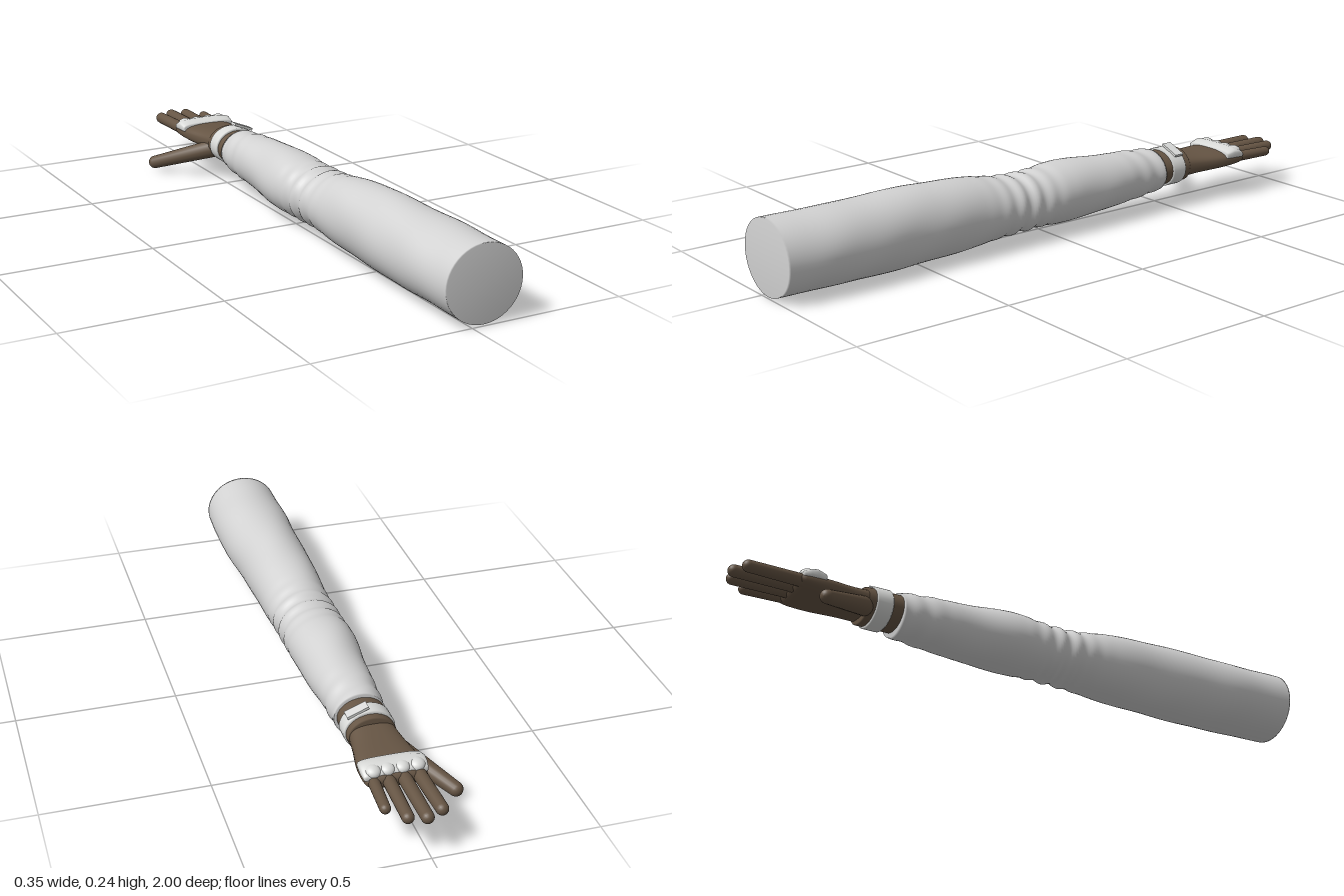
import * as THREE from 'three';

const mat = (name, color) => {
  const m = new THREE.MeshStandardMaterial({ color });
  m.name = name;
  return m;
};

// Smooth interpolation of section rows [z, left, right, bottom, top], z descending
function sectionAt(rows, z) {
  let i = 0;
  while (i < rows.length - 2 && z < rows[i + 1][0]) i++;
  const a = rows[i], b = rows[i + 1], h = b[0] - a[0], t = (z - a[0]) / h;
  const p = rows[Math.max(i - 1, 0)], n = rows[Math.min(i + 2, rows.length - 1)];
  return [1, 2, 3, 4].map((k) => {
    const m0 = (b[k] - p[k]) / (b[0] - p[0]) * h, m1 = (n[k] - a[k]) / (n[0] - a[0]) * h;
    const t2 = t * t, t3 = t2 * t;
    return (2 * t3 - 3 * t2 + 1) * a[k] + (t3 - 2 * t2 + t) * m0 + (3 * t2 - 2 * t3) * b[k] + (t3 - t2) * m1;
  });
}

// Closed skin through rows of sections; square < 1 flattens the ellipse, bump adds relief
function loft(rows, { steps = 0, sides = 40, square = 1, bump = () => 0 } = {}) {
  const z0 = rows[0][0], z1 = rows[rows.length - 1][0];
  const sections = steps
    ? Array.from({ length: steps + 1 }, (_, i) => {
      const z = z0 + (z1 - z0) * i / steps;
      return [z, ...sectionAt(rows, z)];
    })
    : rows;
  const pos = [], idx = [], pw = (v) => Math.sign(v) * Math.abs(v) ** square;
  for (const [z, l, r, b, t] of sections) {
    for (let j = 0; j < sides; j++) {
      const a = j / sides * Math.PI * 2, d = bump(z, a);
      pos.push((l + r) / 2 + pw(Math.cos(a)) * ((r - l) / 2 + d),
        (b + t) / 2 + pw(Math.sin(a)) * ((t - b) / 2 + d), z);
    }
  }
  const n = sections.length, c = n * sides;
  for (const s of [sections[0], sections[n - 1]]) pos.push((s[1] + s[2]) / 2, (s[3] + s[4]) / 2, s[0]);
  for (let j = 0; j < sides; j++) {
    const k = (j + 1) % sides, e = (n - 1) * sides;
    for (let i = 0; i < n - 1; i++) {
      const p = i * sides, q = p + sides;
      idx.push(p + j, q + j, p + k, p + k, q + j, q + k);
    }
    idx.push(c, j, k, c + 1, e + k, e + j);
  }
  const g = new THREE.BufferGeometry();
  g.setAttribute('position', new THREE.Float32BufferAttribute(pos, 3));
  g.setIndex(idx);
  g.computeVertexNormals();
  return g;
}

// Short band with small rounded rims
function band(z0, z1, l, r, b, t, square = 1) {
  const e = 0.004;
  return loft([
    [z0, l + e, r - e, b + e, t - e], [z0 - e, l, r, b, t],
    [z1 + e, l, r, b, t], [z1, l + e, r - e, b + e, t - e],
  ], { square });
}

export function createModel() {
  const model = new THREE.Group();
  const cloth = mat('sleeve cloth', 0xd2d2d2);
  const trim = mat('pale trim', 0xd9dad8);
  const glove = mat('brown glove', 0x665544);
  const add = (name, geometry, material, parent = model) => {
    const m = new THREE.Mesh(geometry, material);
    m.name = name;
    parent.add(m);
    return m;
  };

  // Sleeve with bunched folds at the elbow and soft creases elsewhere
  const folds = (z, a) => {
    const near = (c, w) => Math.exp(-(((z - c) / w) ** 2));
    return 0.0045 * near(0.12, 0.09) * Math.cos((z - 0.1) * 105 + 0.7 * Math.sin(a * 2))
      + 0.0022 * near(-0.4, 0.08) * Math.sin(z * 85 + 2 * Math.cos(a))
      + 0.0016 * (1 - near(1, 0.1)) * Math.sin(z * 23 + 2.5 * Math.sin(a + 1)) * Math.cos(a * 2 + z * 5);
  };
  add('sleeve', loft([
    [1, -0.087, 0.161, 0.008, 0.242], [0.8, -0.088, 0.167, 0.007, 0.242],
    [0.6, -0.081, 0.153, 0.004, 0.245], [0.48, -0.078, 0.148, 0.006, 0.246],
    [0.3, -0.073, 0.141, 0.016, 0.234], [0.14, -0.069, 0.134, 0.03, 0.211],
    [0.05, -0.074, 0.132, 0.03, 0.214], [-0.05, -0.078, 0.131, 0.026, 0.223],
    [-0.2, -0.062, 0.126, 0.033, 0.217], [-0.32, -0.054, 0.117, 0.045, 0.209],
    [-0.45, -0.047, 0.111, 0.058, 0.199],
  ], { steps: 200, sides: 48, bump: folds }), cloth);

  // Glove cuff, wrist strap and its buckle tab
  add('gloveCuff', band(-0.43, -0.566, -0.041, 0.106, 0.074, 0.189), glove);
  add('wristStrap', band(-0.485, -0.541, -0.046, 0.111, 0.068, 0.196), trim);
  const tab = add('strapTab', new THREE.BoxGeometry(0.07, 0.008, 0.034), trim);
  tab.position.set(0.066, 0.193, -0.517);
  tab.rotation.z = -0.38;

  // Flat hand
  add('palm', loft([
    [-0.55, -0.036, 0.1, 0.09, 0.172], [-0.62, -0.045, 0.11, 0.096, 0.165],
    [-0.7, -0.058, 0.124, 0.1, 0.162], [-0.76, -0.061, 0.126, 0.104, 0.158],
    [-0.79, -0.058, 0.122, 0.109, 0.153], [-0.8, -0.05, 0.114, 0.116, 0.146],
  ], { steps: 24, square: 0.75 }), glove);

  // Tapered digits with round tips, from a base point to a tip point
  const digit = (name, base, tip, r0, r1) => {
    const a = new THREE.Vector3(...base), b = new THREE.Vector3(...tip), len = a.distanceTo(b);
    const pts = [new THREE.Vector2(0, 0), new THREE.Vector2(r0, 0)];
    for (let i = 0; i <= 6; i++) {
      const t = i / 6 * Math.PI / 2;
      pts.push(new THREE.Vector2(i === 6 ? 0 : r1 * Math.cos(t), len - r1 + r1 * Math.sin(t)));
    }
    const m = add(name, new THREE.LatheGeometry(pts, 20), glove);
    m.position.copy(a);
    m.quaternion.setFromUnitVectors(new THREE.Vector3(0, 1, 0), b.sub(a).normalize());
  };
  const fingers = [
    ['indexFinger', -0.032, -0.042, -0.975, 0.021],
    ['middleFinger', 0.012, 0.009, -1, 0.021],
    ['ringFinger', 0.056, 0.061, -0.985, 0.02],
    ['littleFinger', 0.097, 0.108, -0.928, 0.018],
  ];
  for (const [name, x0, x1, z, r] of fingers) digit(name, [x0, 0.132, -0.74], [x1, 0.131, z], r, r - 0.002);
  digit('thumb', [-0.01, 0.112, -0.57], [-0.171, 0.026, -0.771], 0.031, 0.022);

  // Gathered trim across the knuckles
  const knuckles = new THREE.Group();
  knuckles.name = 'knuckleTrim';
  model.add(knuckles);
  add('trimBand', loft([
    [-0.714, -0.058, 0.124, 0.134, 0.162], [-0.718, -0.062, 0.128, 0.132, 0.166],
    [-0.745, -0.066, 0.131, 0.13, 0.176], [-0.765, -0.065, 0.131, 0.13, 0.172],
    [-0.785, -0.062, 0.128, 0.13, 0.16], [-0.79, -0.056, 0.122, 0.134, 0.154],
  ], { square: 0.6, sides: 48 }), trim, knuckles);
  for (const [, x] of fingers) {
    const lobe = add('trimLobe', new THREE.SphereGeometry(1, 20, 14), trim, knuckles);
    lobe.scale.set(0.025, 0.019, 0.026);
    lobe.position.set(x, 0.154, -0.768);
  }
  return model;
}
